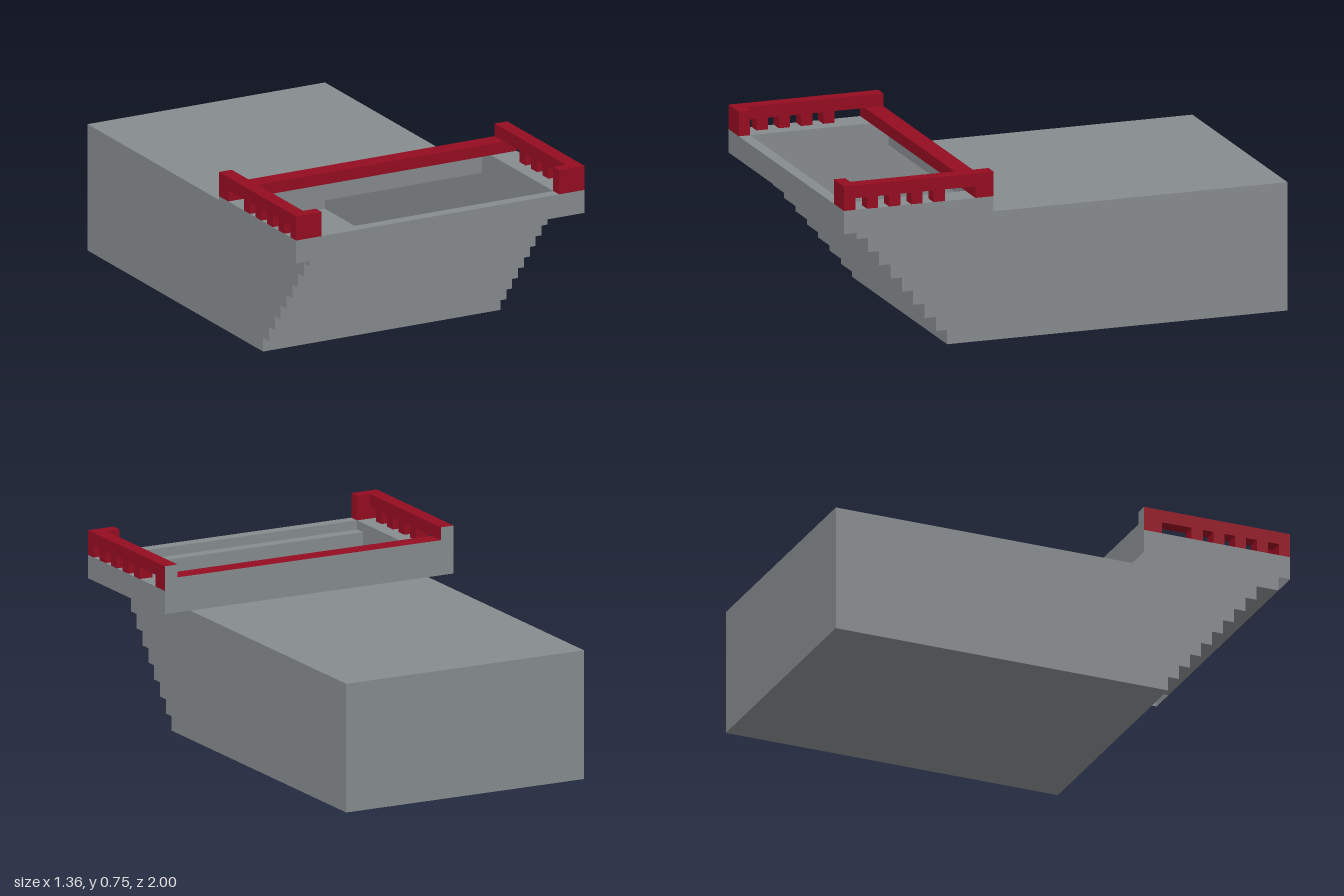
import * as THREE from 'three';

const HALF = 0.56;      // half width of the body
const OUT = 0.68;       // half width of the balcony
const BACK = 0.34;      // rear plane of the balcony
const LOW = 0.55, RIM = 0.65, RAIL = 0.70, TOP = 0.755;
const STEPS = 9, RUN = 0.05, RISE = LOW / STEPS;

export function createModel() {
  const model = new THREE.Group();
  const stone = new THREE.MeshStandardMaterial({ color: 0x868b8e, side: THREE.DoubleSide });
  stone.name = 'grey stone';
  const red = new THREE.MeshStandardMaterial({ color: 0x940c21 });
  red.name = 'red railing';
  // red blocks whose rear face is grey
  const redGreyBack = [red, red, red, red, red, stone];

  const add = (name, geometry, material) => {
    const mesh = new THREE.Mesh(geometry, material);
    mesh.name = name;
    model.add(mesh);
    return mesh;
  };
  const box = (name, material, x0, x1, y0, y1, z0, z1) =>
    add(name, new THREE.BoxGeometry(Math.abs(x1 - x0), y1 - y0, z1 - z0), material)
      .position.set((x0 + x1) / 2, (y0 + y1) / 2, (z0 + z1) / 2);
  // flat panels: horizontal, facing along z, facing along x
  const slab = (name, x0, x1, y, z0, z1, up = 1) =>
    add(name, new THREE.PlaneGeometry(Math.abs(x1 - x0), z1 - z0).rotateX(-up * Math.PI / 2), stone)
      .position.set((x0 + x1) / 2, y, (z0 + z1) / 2);
  const wall = (name, x0, x1, y0, y1, z, front = 1) =>
    add(name, new THREE.PlaneGeometry(x1 - x0, y1 - y0).rotateY(front > 0 ? 0 : Math.PI), stone)
      .position.set((x0 + x1) / 2, (y0 + y1) / 2, z);

  // hollow body
  slab('bodyFloor', -HALF, HALF, 0, -1, 0.5, -1);
  slab('bodyRoof', -HALF, HALF, LOW, -1, BACK);
  wall('bodyBack', -HALF, HALF, 0, LOW, -1, -1);

  // side wall outline (z, y) with the stepped front
  const outline = new THREE.Shape();
  outline.moveTo(-1, 0);
  for (let i = 0; i < STEPS; i++) {
    outline.lineTo(0.5 + i * RUN, i * RISE);
    outline.lineTo(0.5 + i * RUN, (i + 1) * RISE);
  }
  [[1, LOW], [1, RIM], [BACK, RIM], [BACK, LOW], [-1, LOW]].forEach(([z, y]) => outline.lineTo(z, y));
  for (const s of [-1, 1]) {
    add('bodySide', new THREE.ShapeGeometry(outline).rotateY(-Math.PI / 2), stone).position.x = s * HALF;
  }

  // stairs rising to the front lip
  for (let i = 0; i <= STEPS; i++) {
    box('step', stone, -HALF, HALF, i * RISE, (i + 1) * RISE, 0.45 + i * RUN, 0.5 + i * RUN);
  }
  box('frontLip', stone, -HALF, HALF, LOW, RIM, 0.95, 1);

  // balcony shell, open underneath
  wall('balconyBack', -OUT, OUT, LOW, RIM, BACK, -1);
  for (const s of [-1, 1]) {
    slab('balconyLedge', s * HALF, s * OUT, RIM, BACK, 1);
    wall('balconyFront', s > 0 ? HALF : -OUT, s > 0 ? OUT : -HALF, LOW, RIM, 1);
    add('balconySide', new THREE.PlaneGeometry(1 - BACK, RIM - LOW).rotateY(s * Math.PI / 2), stone)
      .position.set(s * OUT, (LOW + RIM) / 2, (1 + BACK) / 2);
  }

  // red railing
  box('backRail', redGreyBack, -0.62, 0.62, RIM, RAIL, BACK, 0.42);
  for (const s of [-1, 1]) {
    box('frontPost', red, s * HALF, s * OUT, RIM, TOP, 0.95, 1);
    box('sideRail', redGreyBack, s * 0.62, s * OUT, RAIL, TOP, BACK, 0.95);
    box('backPost', redGreyBack, s * 0.62, s * OUT, RIM, RAIL, BACK, 0.42);
    for (let i = 0; i < 4; i++) {
      box('baluster', red, s * 0.62, s * OUT, RIM, RAIL, 0.555 + i * 0.098, 0.605 + i * 0.098);
    }
  }
  return model;
}
